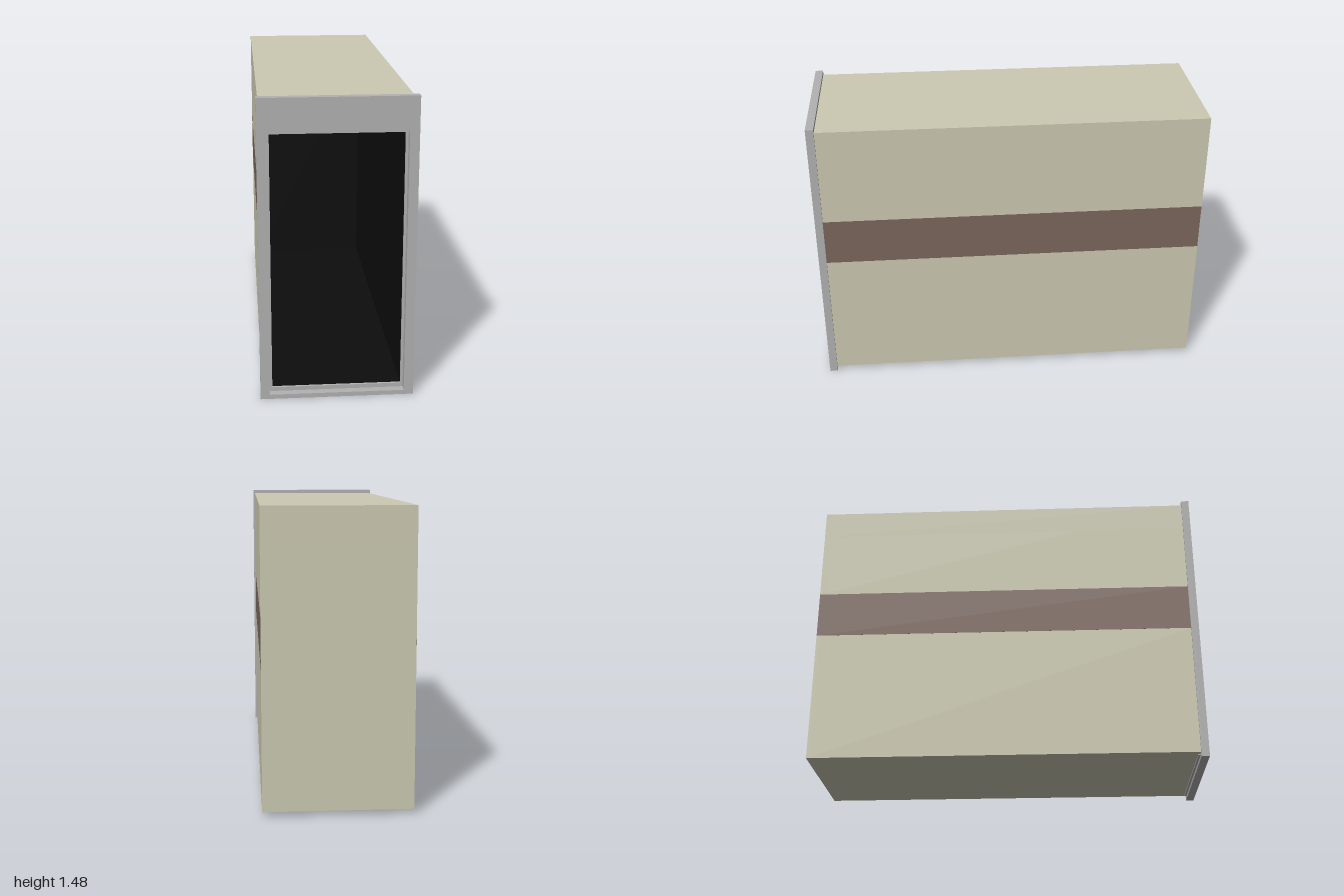
import * as THREE from 'three';

const mat = (color) => new THREE.MeshStandardMaterial({ color });

export function createModel() {
  const model = new THREE.Group();
  const cream = mat(0xcccab2), brown = mat(0x7c665d), grey = mat(0xb2b2b2), black = mat(0x0d0d0d);

  // Box given by its minimum and maximum corners
  const slab = (name, material, [x0, y0, z0], [x1, y1, z1]) => {
    const mesh = new THREE.Mesh(new THREE.BoxGeometry(x1 - x0, y1 - y0, z1 - z0), material);
    mesh.position.set((x0 + x1) / 2, (y0 + y1) / 2, (z0 + z1) / 2);
    mesh.name = name;
    model.add(mesh);
  };

  // Rectangular ring: outer and inner are [halfWidth, bottom, top]
  const ring = (name, material, outer, inner, z0, z1) => {
    const corners = ([w, b, t]) => [[-w, b], [w, b], [w, t], [-w, t]].map(([x, y]) => new THREE.Vector2(x, y));
    const shape = new THREE.Shape(corners(outer));
    shape.holes.push(new THREE.Path(corners(inner).reverse()));
    const geometry = new THREE.ExtrudeGeometry(shape, { depth: z1 - z0, bevelEnabled: false });
    const mesh = new THREE.Mesh(geometry, material);
    mesh.position.z = z0;
    mesh.name = name;
    model.add(mesh);
  };

  const W = 0.36, B = 0.025, T = 1.455, back = -1, front = 0.96; // outer body
  const w = 0.312, b = 0.042, t = 1.3, end = -0.97;              // inner cavity
  const skin = 0.008;

  // Outer walls
  slab('roof', cream, [-W, t + skin, back], [W, T, front]);
  slab('bottom', cream, [-W, B, back], [W, b - skin, front]);
  slab('backWall', cream, [-W, b - skin, back], [W, t + skin, end - skin]);

  // Side walls, each with a flush stripe along its length
  const bands = [['LowerPanel', cream, B, 0.705], ['Stripe', brown, 0.705, 0.95], ['UpperPanel', cream, 0.95, T]];
  for (const [side, s] of [['left', 1], ['right', -1]]) {
    const [x0, x1] = [s * W, s * (w + skin)].sort((p, q) => p - q);
    for (const [name, material, y0, y1] of bands) {
      // the stripe covers the end of the back wall by a hair
      const grow = material === brown ? 0.0005 : 0;
      slab(side + name, material, [x0 - (s < 0 ? grow : 0), y0, back + grow], [x1 + (s > 0 ? grow : 0), y1, front]);
    }
    const [l0, l1] = [s * w, s * (w + skin)].sort((p, q) => p - q);
    slab(side + 'Lining', black, [l0, b, end], [l1, t, 0.95]);
  }

  // Dark cavity lining
  slab('floorLining', black, [-w, b - skin, end], [w, b, 0.95]);
  slab('ceilingLining', black, [-w, t, end], [w, t + skin, 0.95]);
  slab('backLining', black, [-w, b, end - skin], [w, t, end]);

  // Front frame with a recessed lip around the opening
  ring('frontFrame', grey, [0.37, 0, 1.475], [0.324, 0.022, 1.315], front, 1);
  ring('openingLip', grey, [0.33, 0.018, 1.32], [w, b, t], 0.95, front + 0.002);

  return model;
}
